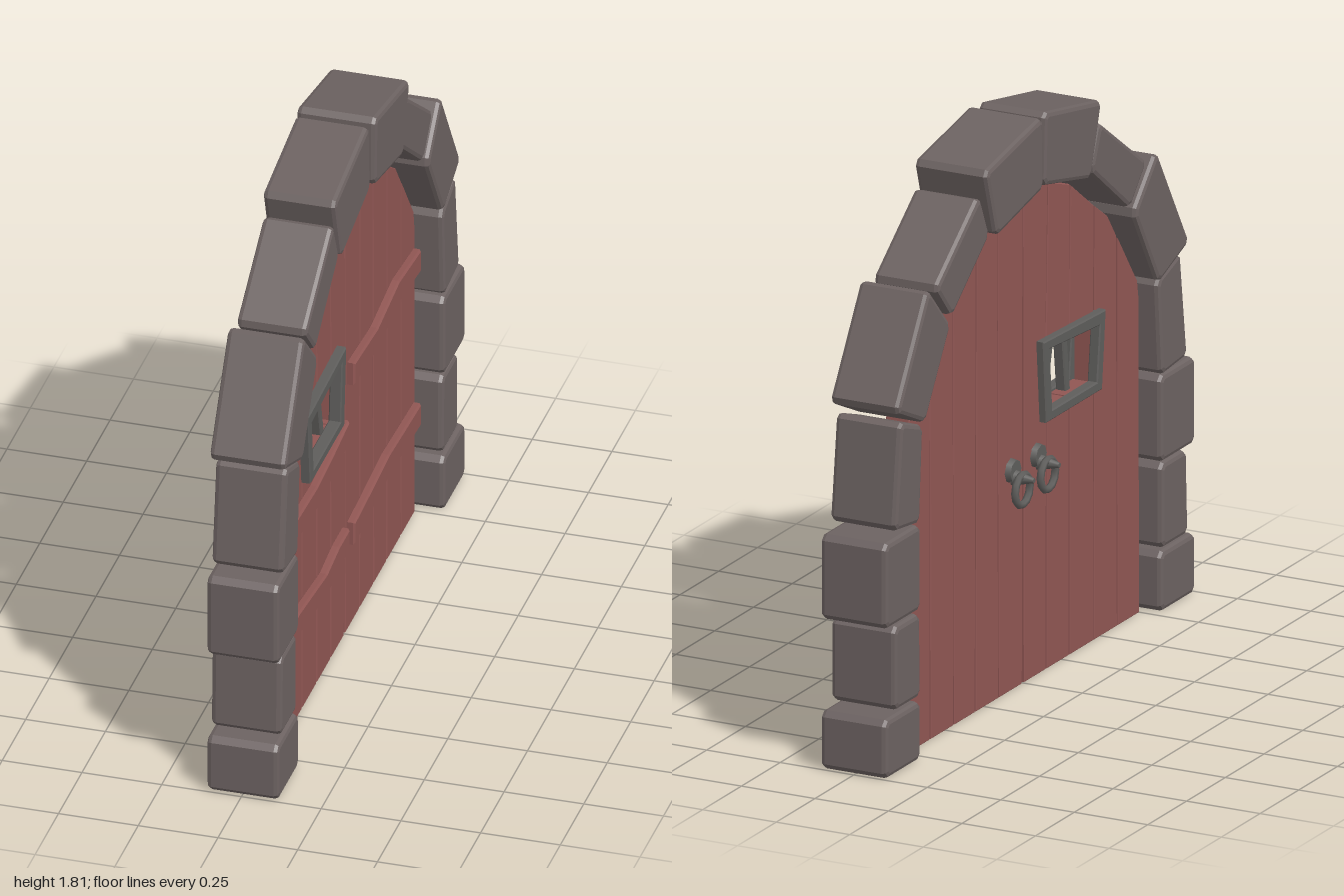
import * as THREE from 'three';

const mat = (name, color) => {
  const m = new THREE.MeshStandardMaterial({ color });
  m.name = name;
  return m;
};

// Every part is a profile in the (u, y) plane, u = -z, extruded along x.
const toShape = pts => new THREE.Shape(pts.map(p => new THREE.Vector2(p[0], p[1])));

function slab(name, shape, x0, x1, bevel, material, bevelSegments = 1) {
  const geo = new THREE.ExtrudeGeometry(shape, {
    depth: x1 - x0 - 2 * bevel, steps: 1,
    bevelEnabled: bevel > 0, bevelSize: bevel, bevelThickness: bevel,
    bevelOffset: -bevel, bevelSegments,
  });
  geo.translate(0, 0, x0 + bevel);
  geo.rotateY(Math.PI / 2);
  const mesh = new THREE.Mesh(geo, material);
  mesh.name = name;
  return mesh;
}

// Cut the corners of a polygon by a fixed distance.
function chamfer(pts, d) {
  const out = [];
  pts.forEach((p, i) => {
    const n = pts.length;
    for (const q of [pts[(i + n - 1) % n], pts[(i + 1) % n]]) {
      const t = d / Math.hypot(q[0] - p[0], q[1] - p[1]);
      out.push([p[0] + (q[0] - p[0]) * t, p[1] + (q[1] - p[1]) * t]);
    }
  });
  return out;
}

// Arched top of the doors: distance from the middle, height
const ARCH = [[0, 1.57], [0.155, 1.545], [0.3, 1.495], [0.45, 1.385], [0.545, 1.32],
  [0.61, 1.23], [0.735, 1.06], [0.75, 0.97]];
function archY(u) {
  const a = Math.abs(u);
  const i = Math.max(1, ARCH.findIndex(p => p[0] >= a));
  const [p, q] = [ARCH[i - 1], ARCH[i]];
  return p[1] + (q[1] - p[1]) * (a - p[0]) / (q[0] - p[0]);
}

// Plank outline below the arch, from bottom edges b0, b1 to top edges t0, t1
function plankOutline(b0, b1, t0, t1, y0 = 0) {
  const inner = ARCH.flatMap(p => [p[0], -p[0]]).filter(u => u > t0 + 0.004 && u < t1 - 0.004);
  const tops = [t1, ...inner.sort((a, b) => b - a), t0];
  return [[b0, y0], [b1, y0], ...tops.map(u => [u, archY(u)])];
}

export function createModel() {
  const group = new THREE.Group();
  const stone = mat('stone', 0x6c6261);
  const wood = mat('redWood', 0x905653);
  const iron = mat('iron', 0x5e5d5b);

  // Stone arch blocks: corners counter-clockwise, then x range
  const blocks = [
    [[[-1, 0], [-0.775, 0], [-0.775, 0.19], [-1, 0.19]], -0.11, 0.115],
    [[[-0.955, 0.2], [-0.78, 0.2], [-0.78, 0.47], [-0.945, 0.47]], -0.11, 0.11],
    [[[-1, 0.475], [-0.775, 0.475], [-0.775, 0.75], [-1, 0.75]], -0.11, 0.115],
    [[[-0.95, 0.765], [-0.78, 0.75], [-0.755, 1.06], [-0.905, 1.11]], -0.11, 0.115],
    [[[-0.945, 1.13], [-0.745, 1.055], [-0.585, 1.325], [-0.735, 1.48]], -0.12, 0.12],
    [[[-0.69, 1.46], [-0.58, 1.34], [-0.325, 1.535], [-0.385, 1.675]], -0.11, 0.11],
    [[[-0.39, 1.745], [-0.32, 1.515], [-0.01, 1.585], [-0.02, 1.815]], -0.115, 0.115],
    [[[0.005, 1.585], [0.31, 1.52], [0.38, 1.745], [0.01, 1.815]], -0.125, 0.125],
    [[[0.325, 1.53], [0.57, 1.34], [0.675, 1.46], [0.39, 1.675]], -0.11, 0.11],
    [[[0.585, 1.325], [0.75, 1.06], [0.935, 1.145], [0.73, 1.48]], -0.115, 0.12],
    [[[0.755, 1.055], [0.775, 0.75], [0.94, 0.77], [0.9, 1.105]], -0.11, 0.115],
    [[[0.77, 0.475], [1, 0.475], [1, 0.745], [0.77, 0.745]], -0.11, 0.115],
    [[[0.77, 0.2], [0.94, 0.2], [0.94, 0.465], [0.775, 0.465]], -0.11, 0.11],
    [[[0.77, 0], [1, 0], [1, 0.185], [0.77, 0.185]], -0.11, 0.115],
  ];
  blocks.forEach(([pts, x0, x1], i) =>
    group.add(slab(`archStone${i + 1}`, toShape(chamfer(pts, 0.018)), x0, x1, 0.015, stone, 2)));

  // Door planks: bottom edges, top edges
  const BACK = -0.05, FRONT = 0.03;
  const addPlank = (name, pts) => group.add(slab(name, toShape(pts), BACK, FRONT, 0.003, wood));
  [
    [-0.748, -0.612, -0.745, -0.608], [-0.605, -0.457, -0.6, -0.463],
    [0.008, 0.153, 0.004, 0.162], [0.161, 0.304, 0.168, 0.297],
    [0.312, 0.443, 0.306, 0.45], [0.451, 0.594, 0.455, 0.6],
    [0.602, 0.748, 0.606, 0.745],
  ].forEach((p, i) => addPlank(`plank${i + 1}`, plankOutline(...p)));

  // Planks interrupted by the window
  const SILL = 0.82, HEAD = 1.025;
  [[-0.451, -0.302, -0.456, -0.308], [-0.295, -0.153, -0.3, -0.165]].forEach(([b0, b1, t0, t1], i) => {
    addPlank(`lowerWindowPlank${i + 1}`, [[b0, 0], [b1, 0], [b1, SILL], [b0, SILL]]);
    addPlank(`upperWindowPlank${i + 1}`, plankOutline(b0, b1 + 0.006, t0, t1, HEAD));
  });
  const notched = plankOutline(-0.145, -0.008, -0.157, -0.004);
  addPlank('notchedPlank', [...notched, [-0.143, HEAD], [-0.12, HEAD], [-0.125, SILL], [-0.148, SILL]]);

  // Crooked cross battens: top edge points, lower edge follows
  [
    [[-0.742, 0.75], [-0.6, 0.745], [-0.37, 0.735], [-0.2, 0.75], [-0.03, 0.77]],
    [[-0.742, 0.392], [-0.56, 0.402], [-0.27, 0.37], [-0.14, 0.39], [-0.028, 0.39]],
    [[0.022, 0.94], [0.27, 0.922], [0.5, 0.955], [0.732, 0.932]],
    [[0.022, 0.38], [0.2, 0.392], [0.39, 0.408], [0.55, 0.4], [0.732, 0.392]],
  ].forEach((top, i) => {
    const low = top.map(([u, y]) => [u, y - 0.077]);
    group.add(slab(`batten${i + 1}`, toShape([...low, ...top.slice().reverse()]), 0.025, 0.055, 0.006, wood));
  });

  // Window frame on both faces
  const frameShape = toShape([[-0.463, 0.798], [-0.104, 0.798], [-0.083, 1.06], [-0.487, 1.045]]);
  frameShape.holes.push(new THREE.Path(
    [[-0.43, 0.83], [-0.45, 1.005], [-0.126, 1.027], [-0.142, 0.83]].map(p => new THREE.Vector2(...p))));
  group.add(slab('windowFrameFront', frameShape, 0.02, 0.06, 0.004, iron));
  group.add(slab('windowFrameBack', frameShape, -0.075, -0.04, 0.004, iron));

  // Bent window bars
  [
    [[-0.372, 0.8], [-0.342, 0.8], [-0.315, 1.03], [-0.345, 1.03]],
    [[-0.213, 0.8], [-0.183, 0.8], [-0.238, 1.03], [-0.268, 1.03]],
  ].forEach((pts, i) => group.add(slab(`windowBar${i + 1}`, toShape(pts), -0.015, 0.02, 0.004, iron)));

  // Ring handles on the back face
  for (const side of [-1, 1]) {
    const handle = new THREE.Group();
    handle.name = side > 0 ? 'ringHandleA' : 'ringHandleB';
    const plate = new THREE.Mesh(new THREE.CylinderGeometry(0.035, 0.04, 0.02, 8), iron);
    plate.name = 'handlePlate';
    plate.rotation.z = Math.PI / 2;
    plate.position.set(-0.058, 0.7, 0);
    const knob = new THREE.Mesh(new THREE.CylinderGeometry(0.008, 0.026, 0.07, 8), iron);
    knob.name = 'handleKnob';
    knob.rotation.z = Math.PI / 2;
    knob.position.set(-0.095, 0.68, 0);
    const ring = new THREE.Mesh(new THREE.TorusGeometry(0.048, 0.012, 6, 12), iron);
    ring.name = 'handleRing';
    ring.rotation.y = Math.PI / 2;
    ring.position.set(-0.09, 0.645, 0);
    handle.add(plate, knob, ring);
    handle.position.z = side * 0.082;
    group.add(handle);
  }
  return group;
}
